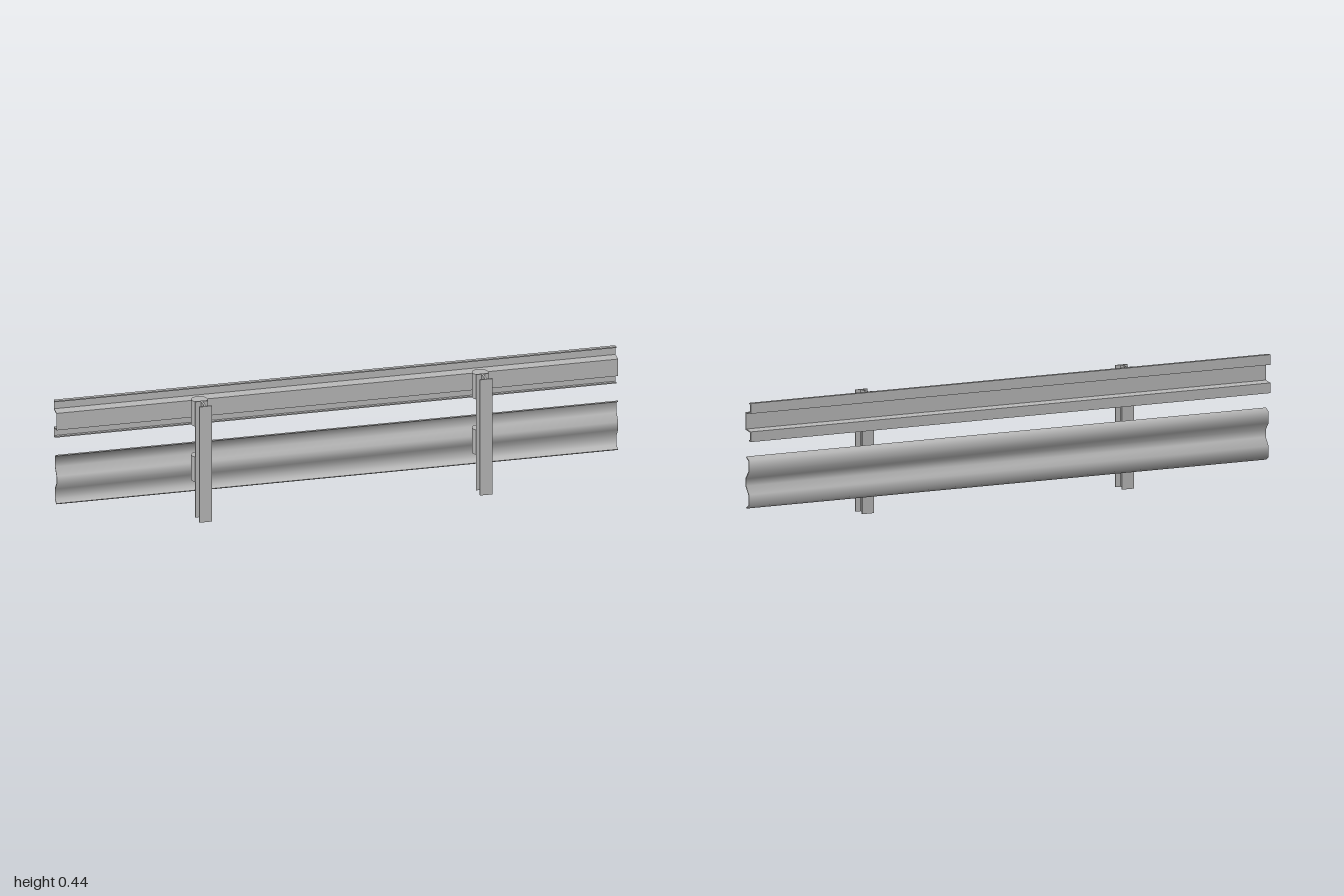
import * as THREE from 'three';
import { toCreasedNormals } from 'three/addons/utils/BufferGeometryUtils.js';

const LENGTH = 2;

// Bent sheet running along x; points are [distance behind z = 0, height] on the centreline
function sheet(points, thickness) {
  const p = points.map(([a, b]) => new THREE.Vector2(a, b));
  const normal = (i) => {
    const d = p[i + 1].clone().sub(p[i]).normalize();
    return new THREE.Vector2(-d.y, d.x);
  };
  const offset = (side) => p.map((v, i) => {
    const n0 = normal(Math.max(i - 1, 0));
    const n1 = normal(Math.min(i, p.length - 2));
    const mitre = n0.clone().add(n1).normalize();
    return v.clone().addScaledVector(mitre, side * thickness / 2 / mitre.dot(n1));
  });
  const shape = new THREE.Shape([...offset(1), ...offset(-1).reverse()]);
  const geo = new THREE.ExtrudeGeometry(shape, { depth: LENGTH, bevelEnabled: false });
  return geo.translate(0, 0, -LENGTH / 2).rotateY(Math.PI / 2);
}

// Complete a half profile by reflecting it about a height
const mirrored = (half, mid) => [...half, ...half.map(([a, b]) => [a, 2 * mid - b]).reverse()];

export function createModel() {
  const group = new THREE.Group();
  const steel = new THREE.MeshStandardMaterial({ color: 0xb8b8b8 });
  steel.name = 'galvanised steel';

  const add = (name, geo, parent, x = 0, y = 0, z = 0) => {
    const mesh = new THREE.Mesh(geo, steel);
    mesh.name = name;
    mesh.position.set(x, y, z);
    parent.add(mesh);
  };

  // Upper rail: hat section with sharp folds
  const hat = mirrored([[0.061, 0.443], [0.074, 0.443], [0.074, 0.411], [0.039, 0.407]], 0.3775);
  add('upperRail', sheet(hat, 0.004), group);

  // Lower rail: two-wave section with soft bends
  const wave = mirrored([[0.041, 0.252], [0.0595, 0.241], [0.0595, 0.203], [0.038, 0.176]], 0.1625);
  add('lowerRail', toCreasedNormals(sheet(wave, 0.004), 1.2), group);

  // I-section posts, each with two round spacers
  const flange = new THREE.BoxGeometry(0.045, 0.427, 0.006);
  const web = new THREE.BoxGeometry(0.007, 0.427, 0.046);
  const spacer = new THREE.CylinderGeometry(0.0285, 0.0285, 0.0915, 32);
  for (const x of [-0.5, 0.5]) {
    const post = new THREE.Group();
    post.name = x > 0 ? 'leftPost' : 'rightPost';
    post.position.x = x;
    add('frontFlange', flange, post, 0, 0.2135, 0.074);
    add('backFlange', flange, post, 0, 0.2135, 0.023);
    add('web', web, post, 0, 0.2135, 0.0485);
    add('upperSpacer', spacer, post, 0, 0.377, -0.0065);
    add('lowerSpacer', spacer, post, 0, 0.1725, -0.0065);
    group.add(post);
  }
  return group;
}
